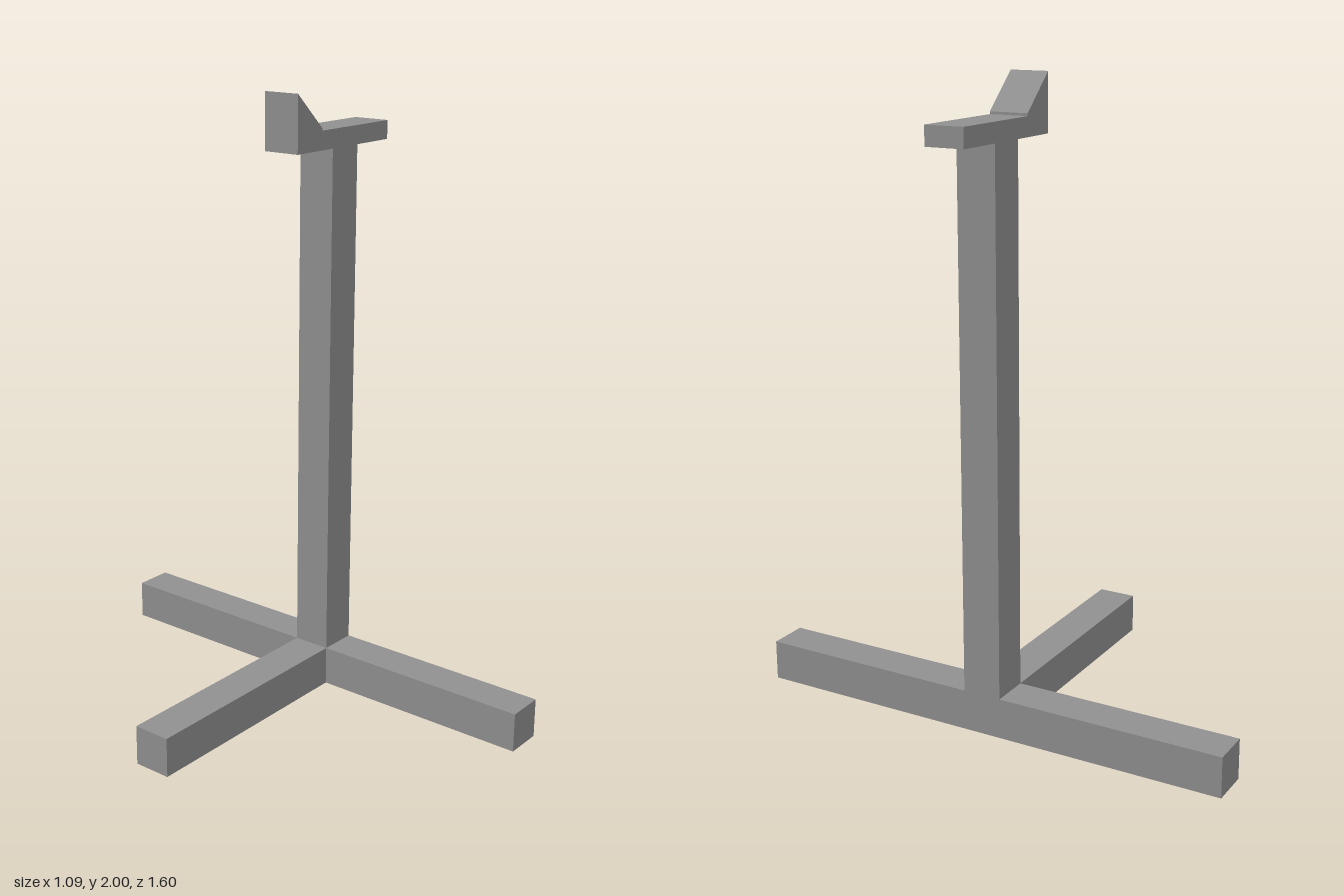
import * as THREE from 'three';

export function createModel() {
  const group = new THREE.Group();
  const grey = new THREE.MeshStandardMaterial({ color: 0x909090 });
  grey.name = 'grey';

  // Box given by its min and max corners
  function beam(name, [x0, y0, z0], [x1, y1, z1]) {
    const mesh = new THREE.Mesh(new THREE.BoxGeometry(x1 - x0, y1 - y0, z1 - z0), grey);
    mesh.position.set((x0 + x1) / 2, (y0 + y1) / 2, (z0 + z1) / 2);
    mesh.name = name;
    group.add(mesh);
  }

  const half = 0.063; // half thickness of the square beams
  const left = 0.255, right = 0.383;

  // T-shaped foot
  beam('crossFoot', [left, 0, -0.8], [right, 0.13, 0.8]);
  beam('longFoot', [-0.545, 0, -half], [left, 0.13, half]);

  // Upright and the flat rest on top of it
  beam('post', [left, 0.13, -half], [right, 1.82, half]);
  beam('topRest', [0.08, 1.82, -half], [0.545, 1.88, half]);

  // Wedge-shaped stop at the end of the rest
  const profile = new THREE.Shape([
    new THREE.Vector2(0.08, 1.88),
    new THREE.Vector2(0.2, 1.88),
    new THREE.Vector2(0.2, 1.888),
    new THREE.Vector2(0.08, 2),
  ]);
  const wedge = new THREE.Mesh(
    new THREE.ExtrudeGeometry(profile, { depth: 2 * half, bevelEnabled: false }), grey);
  wedge.position.z = -half;
  wedge.name = 'wedgeStop';
  group.add(wedge);

  return group;
}
